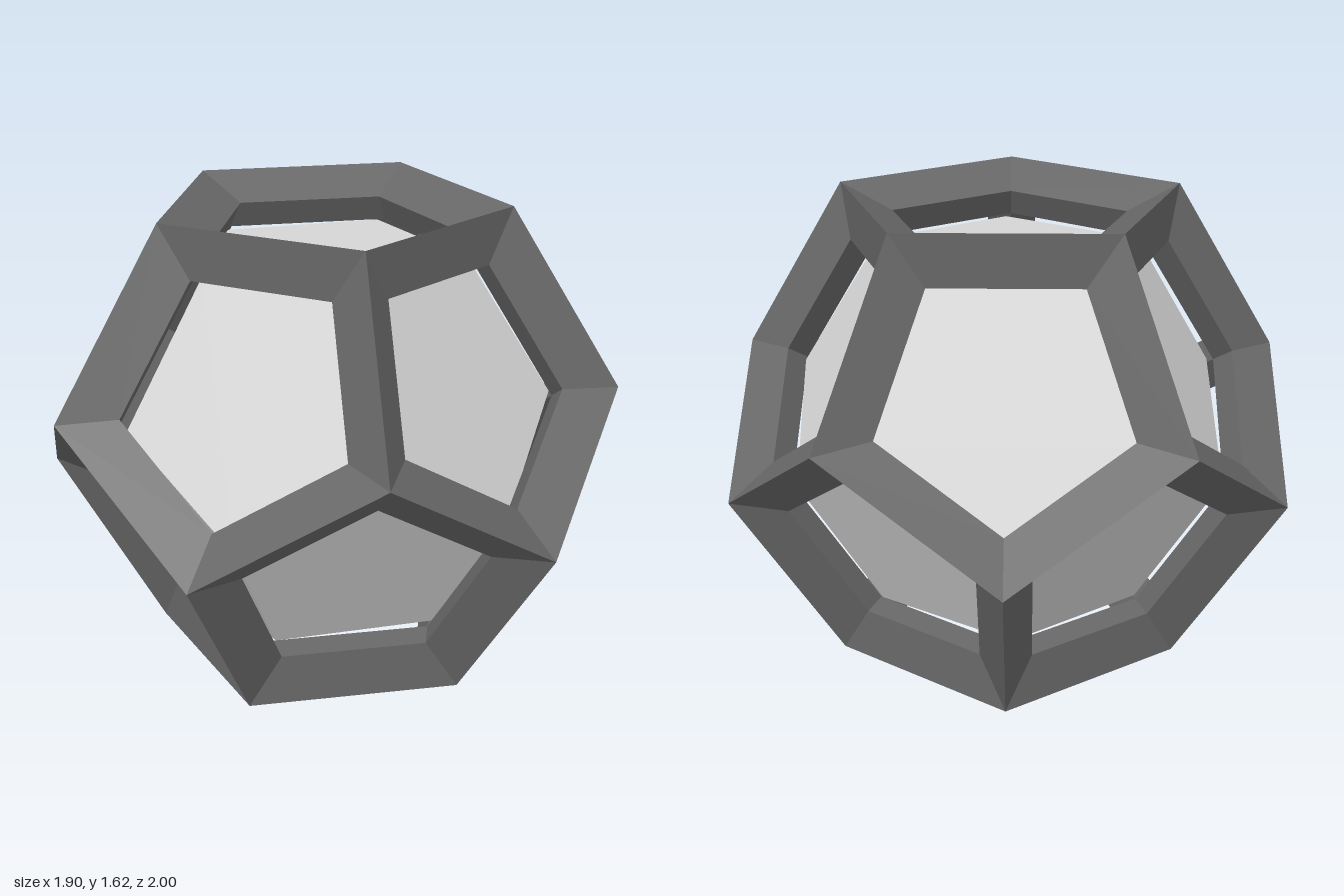
import * as THREE from 'three';

const PHI = (1 + Math.sqrt(5)) / 2;
const HALF = PHI / 2;          // centre to face of the unit dodecahedron
const INSET_DEPTH = 0.085;     // opening edge lies this far below the outer face
const INSET_SCALE = 0.688;     // opening size relative to the face
const INNER_SCALE = 0.777;     // inner ridge of each bar
const CORE_SCALE = 0.768;

const polar = (deg, r, y) => {
  const a = THREE.MathUtils.degToRad(deg);
  return new THREE.Vector3(Math.sin(a) * r, y, Math.cos(a) * r);
};

// Twelve pentagons, each with its normal and its corners in anticlockwise order
function dodecahedronFaces() {
  const corners = [];
  const normals = [new THREE.Vector3(0, 1, 0), new THREE.Vector3(0, -1, 0)];
  for (let k = 0; k < 5; k++) {
    const a = k * 72, b = a + 36;
    corners.push(
      polar(a, 1 / PHI, HALF), polar(a, 1, HALF - 1 / PHI),
      polar(b, 1, 1 / PHI - HALF), polar(b, 1 / PHI, -HALF));
    normals.push(polar(b, 2, 1).normalize(), polar(a, 2, -1).normalize());
  }
  return normals.map((n) => {
    const ring = corners.filter((v) => v.dot(n) > HALF - 0.01);
    const u = ring[0].clone().addScaledVector(n, -HALF).normalize();
    const w = n.clone().cross(u);
    const angle = (v) => Math.atan2(v.dot(w), v.dot(u));
    return { n, ring: ring.sort((p, q) => angle(p) - angle(q)) };
  });
}

function geometryFrom(points) {
  const g = new THREE.BufferGeometry().setFromPoints(points);
  g.computeVertexNormals();
  return g;
}

export function createModel() {
  const frameGrey = new THREE.MeshStandardMaterial({ color: 0x686868 });
  frameGrey.name = 'frameGrey';
  const paleGrey = new THREE.MeshStandardMaterial({ color: 0xd4d4d4 });
  paleGrey.name = 'paleGrey';

  const faces = dodecahedronFaces();
  const bars = [], panels = [];
  const quad = (a, b, c, d) => bars.push(a, b, c, a, c, d);

  for (const { n, ring } of faces) {
    const inset = ring.map((v) => v.clone().addScaledVector(n, -HALF)
      .multiplyScalar(INSET_SCALE).addScaledVector(n, HALF - INSET_DEPTH));
    const inner = ring.map((v) => v.clone().multiplyScalar(INNER_SCALE));
    const core = ring.map((v) => v.clone().multiplyScalar(CORE_SCALE));
    for (let i = 0; i < 5; i++) {
      const j = (i + 1) % 5;
      quad(ring[i], ring[j], inset[j], inset[i]);     // outer slope of the bar
      quad(inset[i], inset[j], inner[j], inner[i]);   // inner slope of the bar
    }
    for (let i = 1; i < 4; i++) panels.push(core[0], core[i], core[i + 1]);
  }

  // Open frame of diamond-section bars
  const frame = new THREE.Mesh(geometryFrom(bars), frameGrey);
  frame.name = 'frame';

  // Solid core, sitting slightly turned inside the frame
  const core = new THREE.Mesh(geometryFrom(panels), paleGrey);
  core.name = 'core';
  core.rotation.set(0.01, 0.05, 0.008);

  const model = new THREE.Group();
  model.name = 'framedDodecahedron';
  model.add(frame, core);
  for (const part of model.children) part.position.y = HALF;
  return model;
}
